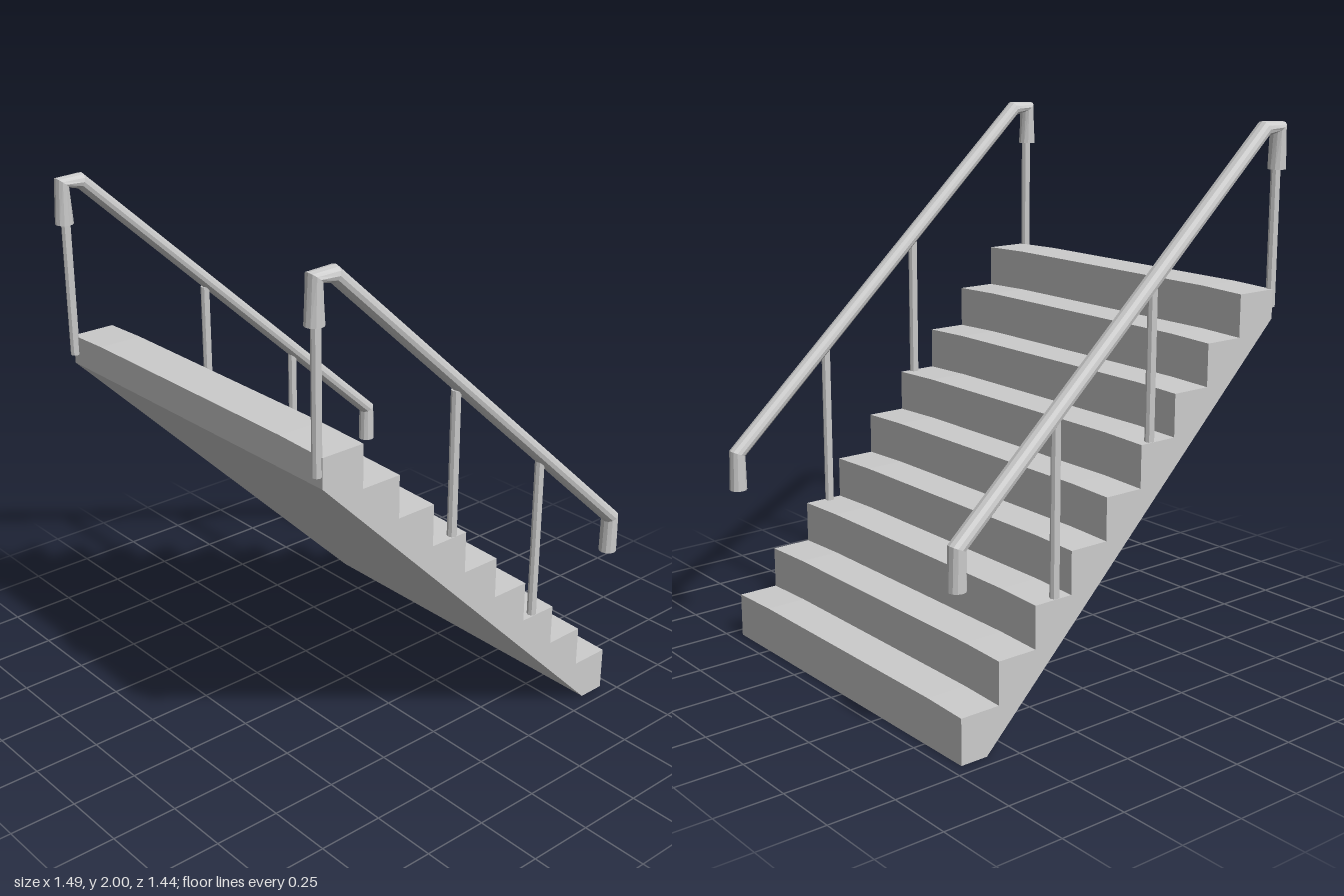
import * as THREE from 'three';

const material = new THREE.MeshStandardMaterial({ color: 0xcccccc, flatShading: true });

function addMesh(parent, name, geometry) {
  const mesh = new THREE.Mesh(geometry, material);
  mesh.name = name;
  parent.add(mesh);
  return mesh;
}

// Stepped side profile extruded across the width, with a slight crown on the treads
function stairGeometry() {
  const edges = [0.705, 0.55, 0.395, 0.24, 0.085, -0.07, -0.225, -0.38, -0.535, -0.7];
  const shape = new THREE.Shape();
  shape.moveTo(0.6, 0);
  shape.lineTo(edges[0], 0);
  for (let i = 0; i < 9; i++) {
    const y = 0.172 + i * 0.155;
    shape.lineTo(edges[i], y);
    shape.lineTo(edges[i + 1], y);
  }
  shape.lineTo(-0.7, 1.3);
  const geometry = new THREE.ExtrudeGeometry(shape, { depth: 3, steps: 3, bevelEnabled: false });
  const layers = [-0.702, -0.52, 0.495, 0.702];
  const p = geometry.attributes.position;
  for (let i = 0; i < p.count; i++) {
    const layer = Math.round(p.getZ(i));
    const onSteps = p.getX(i) + p.getY(i) > 0.61 && p.getY(i) > 0;
    p.setZ(i, layers[layer]);
    if (onSteps && (layer === 0 || layer === 3)) p.setY(i, p.getY(i) - 0.006);
  }
  geometry.computeVertexNormals();
  return geometry;
}

// Handrail lofted through oval sections: [outer x, outer y, inner x, inner y, half width]
function railGeometry() {
  const sides = 12;
  const sections = [
    [0.707, 0.597, 0.707, 0.597, 0],
    [0.74, 0.597, 0.674, 0.597, 0.033],
    [0.735, 0.752, 0.677, 0.727, 0.033],
    [-0.63, 2.0, -0.648, 1.945, 0.033],
    [-0.735, 1.995, -0.69, 1.957, 0.033],
    [-0.746, 1.83, -0.68, 1.83, 0.033],
    [-0.713, 1.83, -0.713, 1.83, 0],
  ];
  const positions = [], index = [];
  sections.forEach(([ox, oy, ix, iy, r], i) => {
    for (let j = 0; j < sides; j++) {
      const a = (j / sides) * Math.PI * 2, t = (1 + Math.cos(a)) / 2;
      positions.push(ix + (ox - ix) * t, iy + (oy - iy) * t, r * Math.sin(a));
      if (i === sections.length - 1) continue;
      const p = i * sides + j, q = i * sides + ((j + 1) % sides);
      index.push(p, p + sides, q, q, p + sides, q + sides);
    }
  });
  const geometry = new THREE.BufferGeometry();
  geometry.setAttribute('position', new THREE.Float32BufferAttribute(positions, 3));
  geometry.setIndex(index);
  geometry.computeVertexNormals();
  return geometry;
}

export function createModel() {
  const model = new THREE.Group();
  model.name = 'staircase';
  addMesh(model, 'steps', stairGeometry());

  // Posts: [name, x, bottom, top]
  const posts = [
    ['lowerPost', 0.3, 0.47, 1.09],
    ['middlePost', -0.122, 0.935, 1.47],
    ['upperPost', -0.708, 1.34, 1.9],
  ];
  for (const side of [-1, 1]) {
    const railing = new THREE.Group();
    railing.name = side > 0 ? 'frontRailing' : 'backRailing';
    railing.position.z = side * 0.685;
    addMesh(railing, 'handrail', railGeometry());
    for (const [name, x, y0, y1] of posts) {
      const post = addMesh(railing, name, new THREE.CylinderGeometry(0.017, 0.017, y1 - y0, 8));
      post.position.set(x, (y0 + y1) / 2, 0);
    }
    model.add(railing);
  }
  return model;
}
